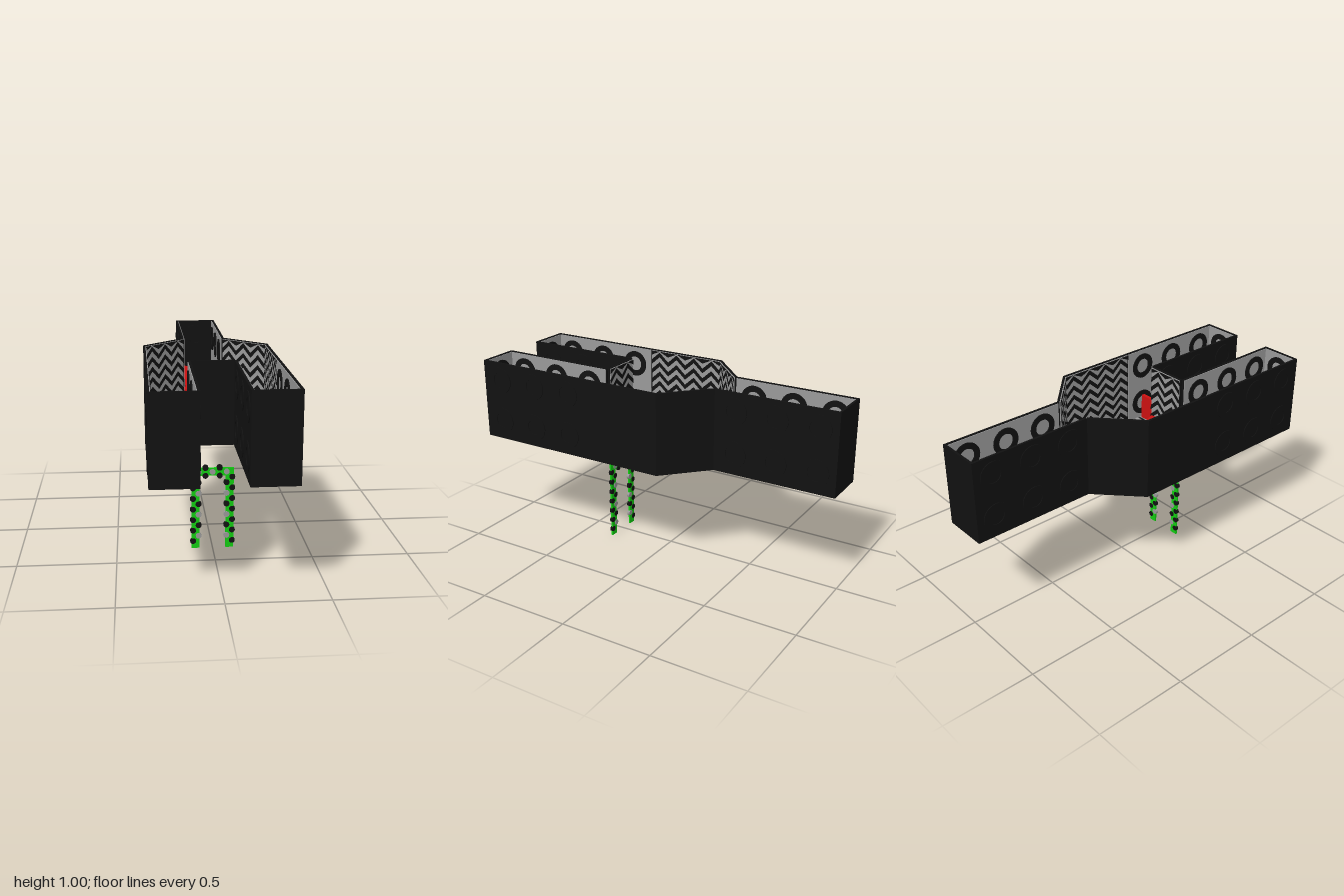
import * as THREE from 'three';

const mat = (name, color, side = THREE.FrontSide) => {
  const m = new THREE.MeshStandardMaterial({ color, side });
  m.name = name;
  return m;
};

const FLOOR = 0.56, TOP = 1, THICK = 0.012;

export function createModel() {
  const root = new THREE.Group();
  root.name = 'forkedTrough';
  const black = mat('black', 0x111111);
  const grey = mat('grey', 0x999999);
  const red = mat('red', 0xcc1111);
  const green = mat('green', 0x11cc11);

  const add = (parent, name, geo, material, x = 0, y = 0, z = 0) => {
    const m = new THREE.Mesh(geo, material);
    m.name = name;
    m.position.set(x, y, z);
    parent.add(m);
    return m;
  };
  const box = (parent, name, material, x0, x1, y0, y1, z0, z1) =>
    add(parent, name, new THREE.BoxGeometry(x1 - x0, y1 - y0, z1 - z0), material,
      (x0 + x1) / 2, (y0 + y1) / 2, (z0 + z1) / 2);
  // upright prism from a plan outline of [x, z] points
  const prism = (name, material, pts, y, height) => {
    const shape = new THREE.Shape(pts.map(([x, z]) => new THREE.Vector2(x, -z)));
    const geo = new THREE.ExtrudeGeometry(shape, { depth: height, bevelEnabled: false });
    geo.rotateX(-Math.PI / 2);
    return add(root, name, geo, material, 0, y, 0);
  };

  // ring that passes through a wall
  const ring = (parent, x, y, outset) => {
    const s = new THREE.Shape().absarc(0, 0, 0.073, 0, Math.PI * 2);
    s.holes.push(new THREE.Path().absarc(0, 0, 0.042, 0, Math.PI * 2, true));
    const geo = new THREE.ExtrudeGeometry(s, {
      depth: THICK + 0.01 + outset, bevelEnabled: false, curveSegments: 14,
    });
    add(parent, 'wallRing', geo, black, x, y, -outset);
  };

  // zigzag bands laid over a wall panel
  const chevrons = (parent, len) => {
    const teeth = Math.max(2, Math.round(len / 0.105)), n = teeth * 2;
    const clamp = (v) => Math.min(TOP - 0.006, Math.max(FLOOR + 0.012, v));
    for (let y = FLOOR - 0.04; y < TOP; y += 0.056) {
      const low = [], high = [];
      for (let i = 0; i <= n; i++) {
        const base = y + (i % 2) * 0.05;
        low.push(new THREE.Vector2(len * i / n, clamp(base)));
        high.unshift(new THREE.Vector2(len * i / n, clamp(base + 0.027)));
      }
      const geo = new THREE.ShapeGeometry(new THREE.Shape([...low, ...high]));
      add(parent, 'chevronBand', geo, black, 0, 0, THICK + 0.006);
    }
  };

  // wall segments around the outline, inner side always on local +z
  const F = 0.33;
  const walls = [
    [0.34, 1, 'end'], [0.11, 1, 'rings'], [0.11, F, 'chevron'], [-0.11, F, 'rings'],
    [-0.11, 1, 'end'], [-0.34, 1, 'rings'], [-0.34, F, 'chevron'], [-0.34, -0.12, 'chevron'],
    [-0.12, -0.33, 'rings'], [-0.12, -1, 'back'], [0.12, -1, 'rings'],
    [0.12, -0.33, 'chevron'], [0.34, -0.12, 'chevron'], [0.34, F, 'rings'],
  ];
  walls.forEach(([x0, z0, kind], i) => {
    const [x1, z1] = walls[(i + 1) % walls.length];
    const len = Math.hypot(x1 - x0, z1 - z0);
    const wall = new THREE.Group();
    wall.name = kind + 'Wall';
    wall.position.set(x0, 0, z0);
    wall.rotation.y = Math.atan2(z0 - z1, x1 - x0);
    root.add(wall);
    box(wall, 'wallPlate', black, 0, len, FLOOR, TOP, 0, THICK);
    if (kind !== 'back') {
      box(wall, 'innerPanel', grey, 0.004, len - 0.004, FLOOR + 0.01, TOP - 0.004, THICK, THICK + 0.004);
    }
    if (kind === 'chevron') {
      chevrons(wall, len);
    } else {
      const spots = kind === 'rings' ? [-0.225, 0, 0.225] : [0];
      for (const s of spots)
        for (const y of [0.67, 0.9]) ring(wall, len / 2 + s, y, kind === 'rings' ? 0.004 : 0);
    }
  });

  // floor and its cross stripes
  prism('floor', black, walls.map(([x, z]) => [x, z]), FLOOR, 0.01);
  const stripe = (x0, x1, z) =>
    box(root, 'floorStripe', grey, x0, x1, FLOOR + 0.01, FLOOR + 0.014, z, z + 0.021);
  for (let z = -0.98; z < 0.97; z += 0.038) {
    if (z > F - 0.03) {
      stripe(0.125, 0.325, z);
      stripe(-0.325, -0.125, z);
    } else {
      const h = z < -0.33 ? 0.105 : Math.min(0.325, 0.105 + (z + 0.33) * 1.05);
      stripe(-h, h, z);
    }
  }

  // red inserts: rails in the narrow arm, gates in the prongs, block at the fork
  for (const s of [-1, 1]) {
    const span = (a, b) => (s > 0 ? [a, b] : [-b, -a]);
    box(root, 'rail', red, ...span(0.04, 0.104), FLOOR + 0.01, 0.71, -0.985, -0.3);
    box(root, 'prongGate', red, ...span(0.126, 0.312), FLOOR + 0.01, 0.72, 0.428, 0.446);
  }
  prism('forkBlock', red, [[-0.105, F - 0.008], [0.105, F - 0.008], [0.082, 0.26], [-0.082, 0.26]],
    FLOOR + 0.01, 0.14);

  // hanging arch
  const arch = new THREE.Group();
  arch.name = 'arch';
  arch.position.z = F;
  root.add(arch);
  const a = new THREE.Shape([
    [-0.11, 0], [-0.068, 0], [-0.068, 0.398], [0.068, 0.398], [0.068, 0],
    [0.11, 0], [0.11, 0.44], [-0.11, 0.44],
  ].map(([x, y]) => new THREE.Vector2(x, y)));
  add(arch, 'archFrame', new THREE.ExtrudeGeometry(a, { depth: 0.01, bevelEnabled: false }), green, 0, 0, -0.005);

  // studs along the arch
  const studGeo = new THREE.CylinderGeometry(0.0155, 0.0155, 0.015, 20).rotateX(Math.PI / 2);
  const stud = (x, y, m) => add(arch, 'stud', studGeo, m, x, y, 0);
  for (const s of [-1, 1]) {
    for (let i = 0; i < 7; i++) {
      stud(s * 0.102, 0.039 + i * 0.0585, black);
      stud(s * 0.073, 0.068 + i * 0.0585, i % 2 ? black : grey);
    }
    stud(s * 0.037, 0.44, black);
    stud(s * 0.037, 0.398, black);
  }
  stud(0, 0.419, grey);

  return root;
}
